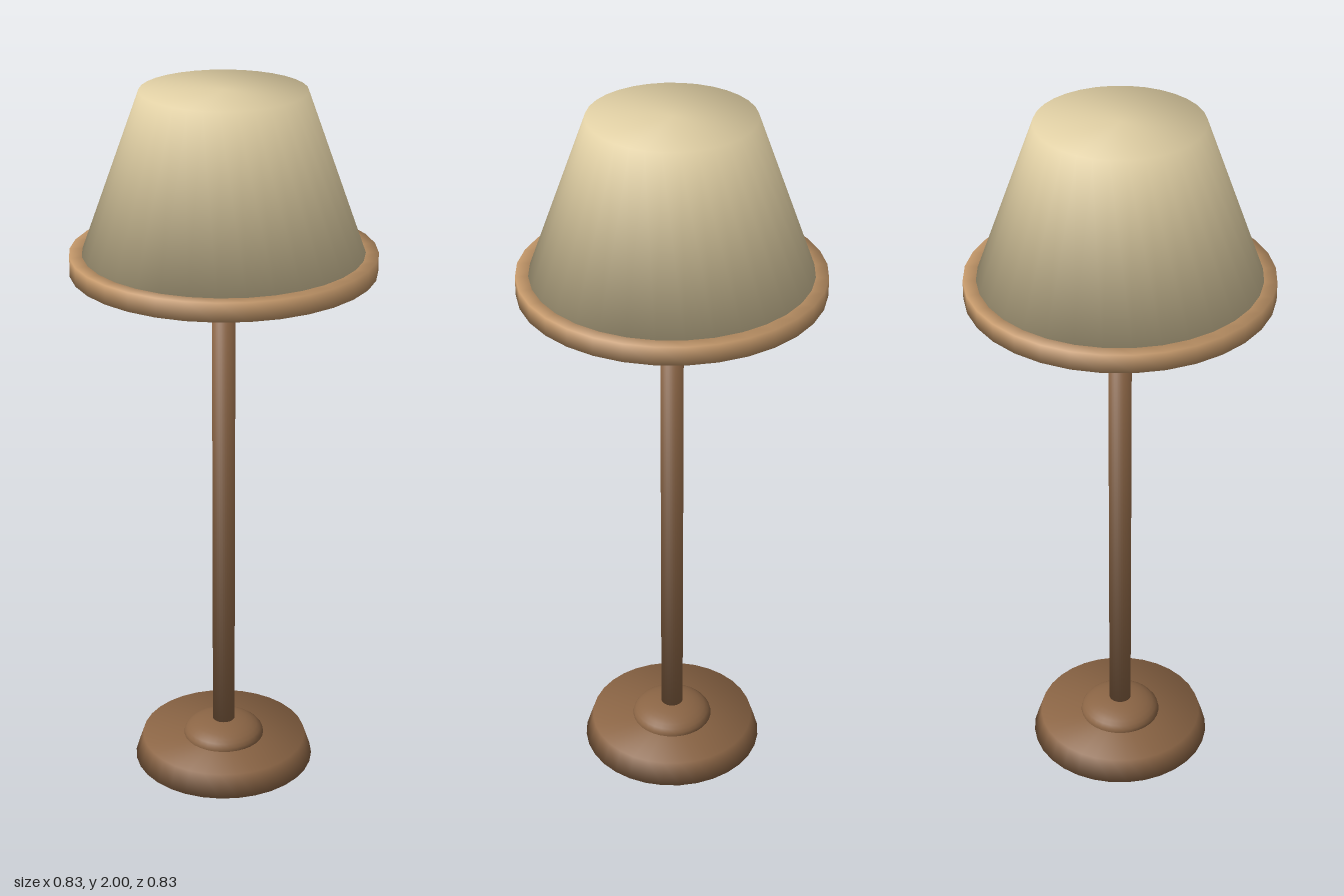
import * as THREE from 'three';

const SIDES = 32;

// Turned solid whose shading flows smoothly over every edge of the profile.
function turned(profile, closed = false) {
  const pts = profile.map(([r, y]) => new THREE.Vector2(r, y));
  const geometry = new THREE.LatheGeometry(pts, SIDES);
  const last = pts.length - 1;
  const segment = (i) => {
    const d = pts[i + 1].clone().sub(pts[i]).normalize();
    return new THREE.Vector2(d.y, -d.x);
  };
  const normals = pts.map((p, i) => {
    const n = new THREE.Vector2();
    if (i > 0 || closed) n.add(segment(i > 0 ? i - 1 : last - 1));
    if (i < last || closed) n.add(segment(i < last ? i : 0));
    return n.normalize();
  });
  const attribute = geometry.attributes.normal;
  for (let s = 0; s <= SIDES; s++) {
    const a = (s / SIDES) * Math.PI * 2;
    normals.forEach((n, j) => {
      attribute.setXYZ(s * pts.length + j, n.x * Math.sin(a), n.y, n.x * Math.cos(a));
    });
  }
  return geometry;
}

// Closed tapered cylinder from y0 to y1.
const frustum = (r0, y0, r1, y1) => turned([[0, y0], [r0, y0], [r1, y1], [0, y1]]);

export function createModel() {
  const group = new THREE.Group();
  const wood = new THREE.MeshStandardMaterial({ name: 'dark wood', color: 0x8b6545 });
  const trim = new THREE.MeshStandardMaterial({ name: 'light wood trim', color: 0xc4986a });
  const cream = new THREE.MeshStandardMaterial({ name: 'cream', color: 0xe0cfa4 });

  const add = (name, geometry, material) => {
    const mesh = new THREE.Mesh(geometry, material);
    mesh.name = name;
    group.add(mesh);
    return mesh;
  };

  // Foot and stem
  add('base', frustum(0.26, 0, 0.238, 0.066), wood);
  const collar = add('baseCollar', new THREE.SphereGeometry(0.117, SIDES, 16), wood);
  collar.scale.y = 0.43;
  collar.position.y = 0.067;
  add('pole', frustum(0.032, 0.05, 0.032, 1.45), wood);

  // Bulb and shade
  add('bulb', new THREE.SphereGeometry(0.097, SIDES, 16), cream).position.y = 1.498;
  add('shade', frustum(0.39, 1.535, 0.222, 2), cream);

  // Band around the lower edge of the shade
  add('shadeRim', turned([
    [0.357, 1.51], [0.415, 1.51], [0.415, 1.562], [0.357, 1.562], [0.357, 1.51],
  ], true), trim);

  return group;
}
